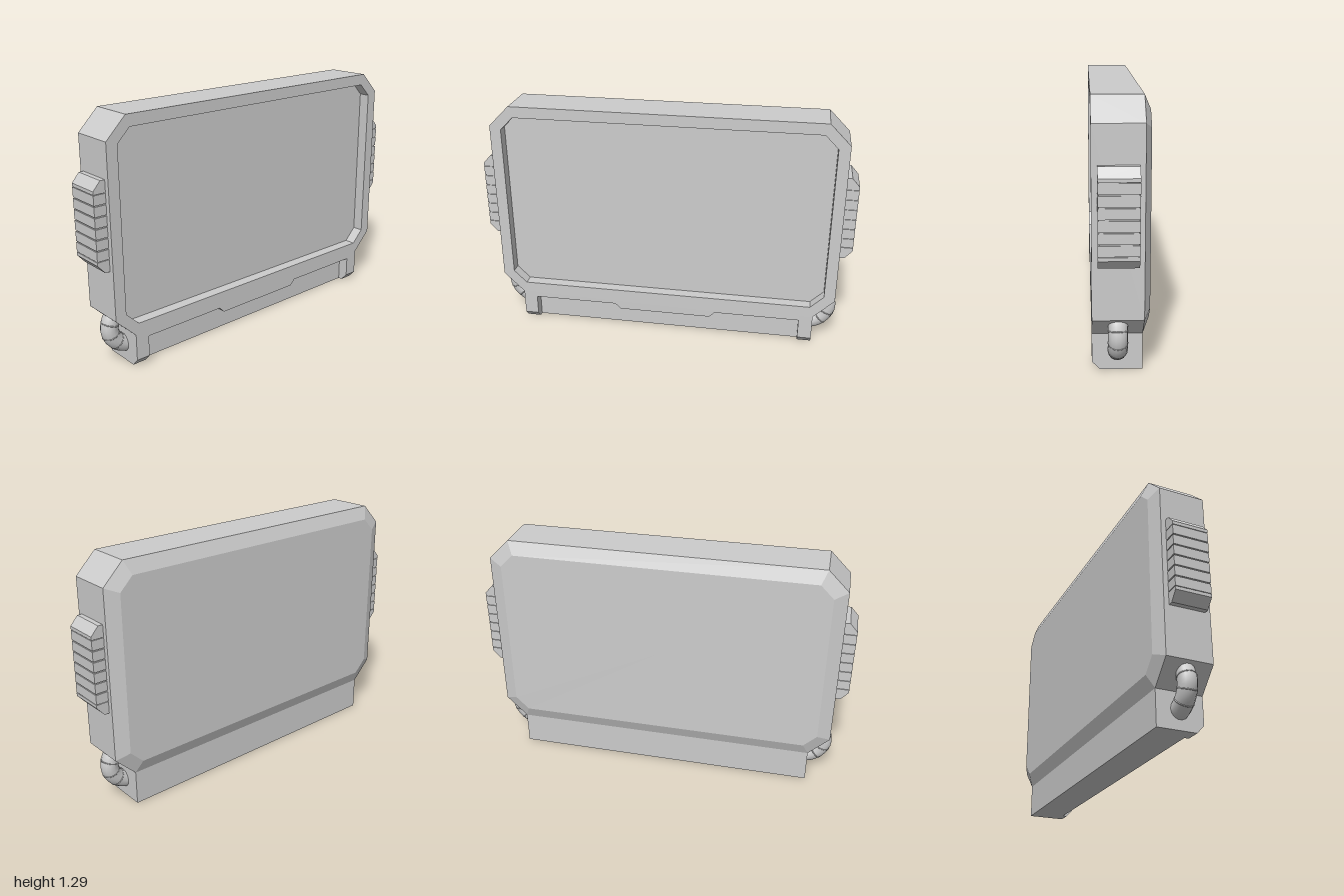
import * as THREE from 'three';

const mat = new THREE.MeshStandardMaterial({ color: 0xcccccc, flatShading: true });
const smooth = new THREE.MeshStandardMaterial({ color: 0xcccccc });

function add(parent, name, geo, m = mat) {
  const mesh = new THREE.Mesh(geo, m);
  mesh.name = name;
  parent.add(mesh);
  return mesh;
}

// Box given by its limits on each axis
function box(x0, x1, y0, y1, z0, z1) {
  return new THREE.BoxGeometry(x1 - x0, y1 - y0, z1 - z0)
    .translate((x0 + x1) / 2, (y0 + y1) / 2, (z0 + z1) / 2);
}

const shapeOf = pts => new THREE.Shape(pts.map(p => new THREE.Vector2(...p)));

// Side outline of [z, y] points, extruded from x0 to x1
function extrudeX(pts, x0, x1) {
  return new THREE.ExtrudeGeometry(shapeOf(pts.map(([z, y]) => [-z, y])),
    { depth: x1 - x0, bevelEnabled: false }).rotateY(Math.PI / 2).translate(x0, 0, 0);
}

// Chamfered rectangle at a given x, counter-clockwise as seen from +x
function octagon(x, inset, c) {
  const w = 0.935 - inset, b = 0.18 + inset, t = 1.29 - inset;
  return [[w, b + c], [w, t - c], [w - c, t], [c - w, t],
    [-w, t - c], [-w, b + c], [c - w, b], [w - c, b]]
    .map(([u, y]) => new THREE.Vector3(x, y, -u));
}

// Flat-faced skin over a row of rings, closed at both ends
function loft(rings) {
  const tri = [], n = rings[0].length;
  const center = r => r.reduce((s, p) => s.add(p), new THREE.Vector3()).divideScalar(n);
  const first = rings[0], last = rings[rings.length - 1];
  for (let i = 0; i < n; i++) {
    const j = (i + 1) % n;
    tri.push(center(first), first[j], first[i], center(last), last[i], last[j]);
    for (let k = 0; k < rings.length - 1; k++) {
      const a = rings[k], b = rings[k + 1];
      tri.push(a[i], a[j], b[j], a[i], b[j], b[i]);
    }
  }
  const geo = new THREE.BufferGeometry().setFromPoints(tri);
  geo.computeVertexNormals();
  return geo;
}

export function createModel() {
  const group = new THREE.Group();
  group.name = 'displayPanel';

  // Housing with bevelled back and recessed screen
  add(group, 'housing', loft([
    octagon(-0.135, 0.07, 0.07), octagon(-0.105, 0, 0.11), octagon(0.132, 0, 0.11),
    octagon(0.132, 0.06, 0.07), octagon(0.072, 0.06, 0.07),
  ]));

  // Base with a stepped recess along its front
  add(group, 'base', box(-0.105, 0.072, 0, 0.18, -0.825, 0.825));
  add(group, 'baseLip', extrudeX([[-0.75, 0.18], [-0.75, 0.15], [-0.285, 0.15], [-0.255, 0.12],
    [0.255, 0.12], [0.285, 0.15], [0.75, 0.15], [0.75, 0.18]], 0.072, 0.132));

  for (const s of [1, -1]) {
    const side = new THREE.Group();
    side.name = s > 0 ? 'leftSide' : 'rightSide';
    group.add(side);

    // Chamfered end of the base
    const foot = shapeOf([[0.072, 0], [0.095, 0], [0.132, 0.04], [0.132, 0.18], [0.072, 0.18]]);
    add(side, 'baseEnd', new THREE.ExtrudeGeometry(foot, { depth: 0.075, bevelEnabled: false })
      .translate(0, 0, s > 0 ? 0.75 : -0.825));

    // Grip core with fine grooves left between its slats
    add(side, 'gripCore', extrudeX([[0.92, 0.545], [0.96, 0.545], [0.995, 0.585],
      [0.995, 0.96], [0.96, 1.0], [0.92, 1.0]].map(([z, y]) => [s * z, y]), -0.075, 0.1));
    const cap = y => [[0.92, 0.545], [0.96, 0.545], [1, 0.59], [1, 0.607], [0.92, 0.607]]
      .map(([z, v]) => [s * z, y(v)]);
    add(side, 'gripLowerEnd', extrudeX(cap(v => v), -0.08, 0.105));
    add(side, 'gripUpperEnd', extrudeX(cap(v => 1.545 - v), -0.08, 0.105));
    const count = 6, pitch = (0.938 - 0.607) / count;
    for (let i = 0; i < count; i++) {
      const y = 0.607 + i * pitch;
      add(side, 'gripSlat', box(-0.08, 0.105, y + 0.003, y + pitch - 0.003,
        Math.min(s * 0.92, s), Math.max(s * 0.92, s)));
    }

    // Short hose from the base up into the housing
    const path = new THREE.CatmullRomCurve3([[0.79, 0.09], [0.835, 0.1], [0.88, 0.135],
      [0.903, 0.19], [0.893, 0.24], [0.86, 0.29]]
      .map(([z, y]) => new THREE.Vector3(0.013, y, s * z)));
    add(side, 'hose', new THREE.TubeGeometry(path, 18, 0.046, 14), smooth);
    // Thin rings along the hose
    for (const t of [0.3, 0.5, 0.72]) {
      const ring = add(side, 'hoseRing', new THREE.TorusGeometry(0.0445, 0.0035, 6, 16), smooth);
      ring.position.copy(path.getPointAt(t));
      ring.lookAt(ring.position.clone().add(path.getTangentAt(t)));
    }
  }
  return group;
}
